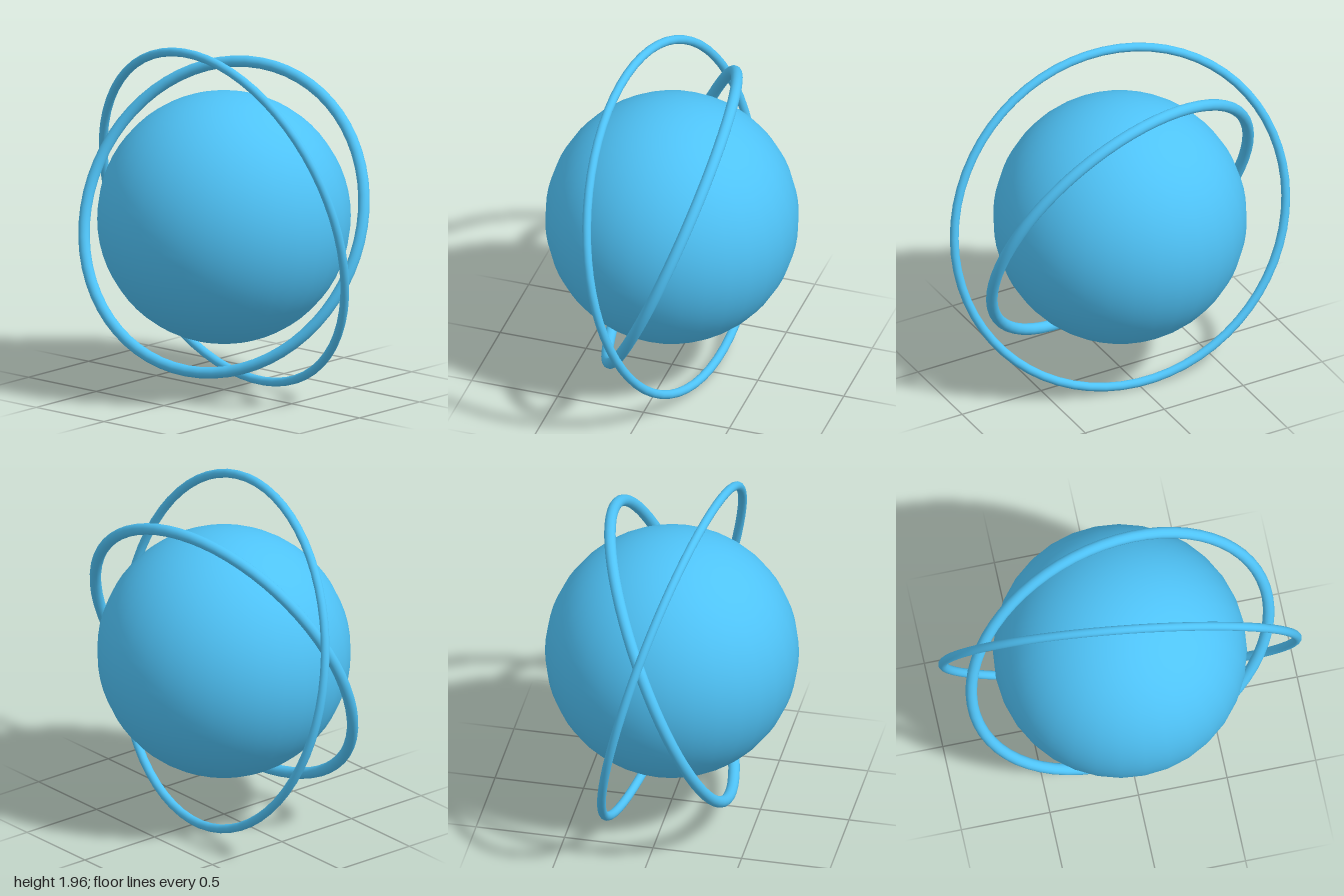
import * as THREE from 'three';

export function createModel() {
  const model = new THREE.Group();
  model.name = 'ringedPlanet';
  const material = new THREE.MeshStandardMaterial({ color: 0x4fc3f7 });
  const centreY = 0.987;

  function add(name, geometry) {
    const mesh = new THREE.Mesh(geometry, material);
    mesh.name = name;
    mesh.position.y = centreY;
    model.add(mesh);
    return mesh;
  }

  // Central globe
  add('globe', new THREE.SphereGeometry(0.702, 32, 32));

  // Thin rings, each tilted so that its axis follows the given direction
  const rings = [
    { name: 'innerRing', radius: 0.878, tube: 0.032, axis: [0.17, 0.39, 0.905] },
    { name: 'outerRing', radius: 0.983, tube: 0.0246, axis: [-0.125, -0.228, 0.966] },
  ];
  const forward = new THREE.Vector3(0, 0, 1);
  for (const { name, radius, tube, axis } of rings) {
    const ring = add(name, new THREE.TorusGeometry(radius, tube, 16, 64));
    ring.quaternion.setFromUnitVectors(forward, new THREE.Vector3(...axis).normalize());
  }

  return model;
}
